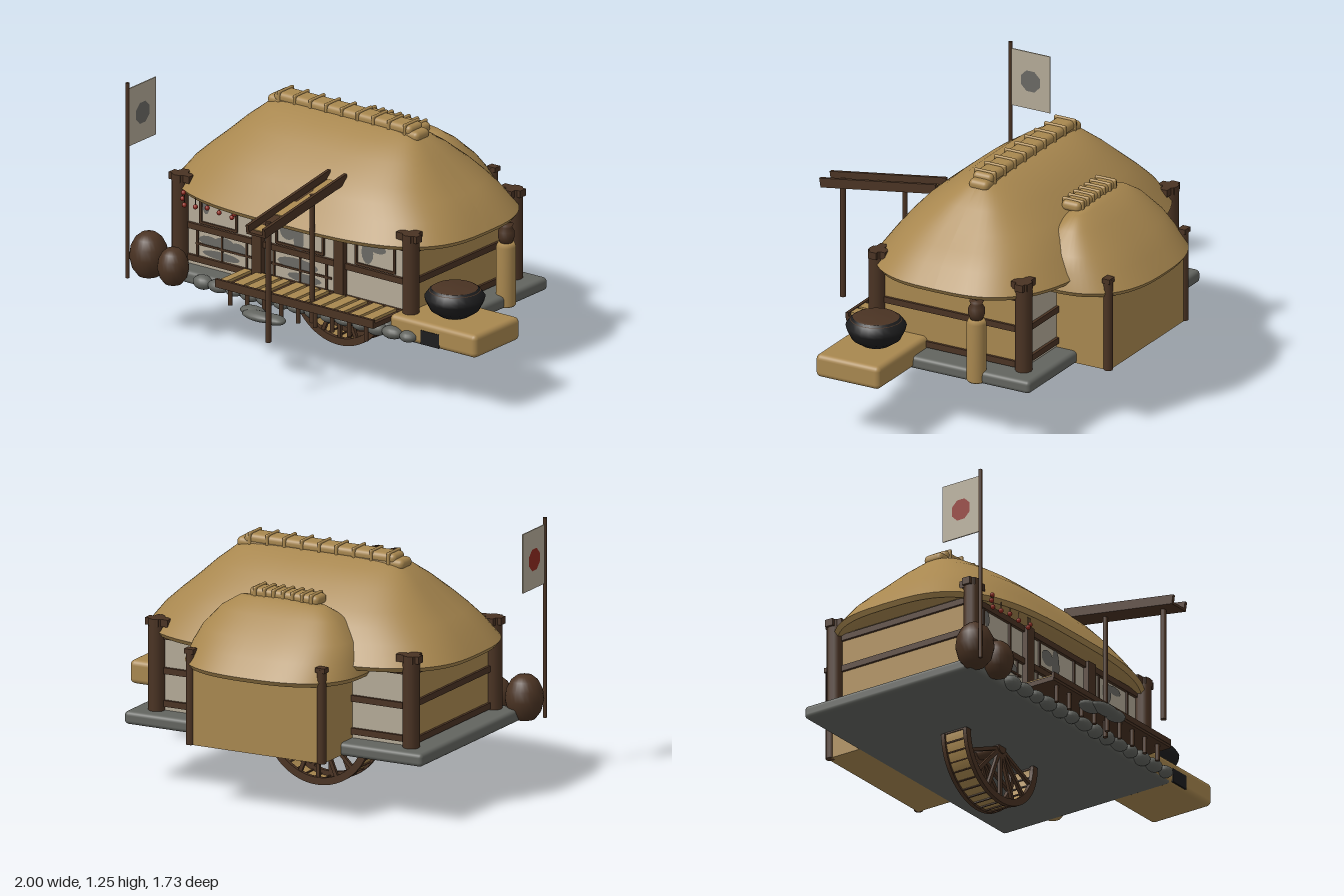
import * as THREE from 'three';
import { RoundedBoxGeometry } from 'three/addons/geometries/RoundedBoxGeometry.js';

const mat = (name, color, side = THREE.FrontSide) => {
  const m = new THREE.MeshStandardMaterial({ color, side });
  m.name = name;
  return m;
};

export function createModel() {
  const root = new THREE.Group();
  root.name = 'thatchedCottage';
  const straw = mat('straw', 0xa8874f);
  const wood = mat('darkWood', 0x4a3323);
  const stone = mat('stone', 0x62645f);
  const paper = mat('paper', 0xb4aa97, THREE.DoubleSide);
  const ink = mat('inkGrey', 0x6a6964);
  const iron = mat('blackIron', 0x1d1d1e);
  const red = mat('red', 0x8e2a20);

  const add = (name, geo, m, x = 0, y = 0, z = 0, parent = root) => {
    const mesh = new THREE.Mesh(geo, m);
    mesh.name = name;
    mesh.position.set(x, y, z);
    parent.add(mesh);
    return mesh;
  };
  // box given by its limits
  const box = (name, m, x0, x1, y0, y1, z0, z1, r = 0, parent = root) => {
    const w = x1 - x0, h = y1 - y0, d = z1 - z0;
    const geo = r ? new RoundedBoxGeometry(w, h, d, 3, r) : new THREE.BoxGeometry(w, h, d);
    return add(name, geo, m, (x0 + x1) / 2, (y0 + y1) / 2, (z0 + z1) / 2, parent);
  };
  const post = (name, x, z, y0, y1, r, m = wood) =>
    add(name, new THREE.CylinderGeometry(r, r, y1 - y0, 12), m, x, (y0 + y1) / 2, z);
  const lathe = (pts, seg = 24) =>
    new THREE.LatheGeometry(pts.map(p => new THREE.Vector2(...p)), seg);

  // surface through stacked superellipse rings [halfX, halfZ, y]
  const loft = (rings, n, seg = 72) => {
    const pos = [], idx = [];
    const pw = v => Math.sign(v) * Math.abs(v) ** (2 / n);
    rings.forEach(([hx, hz, y], i) => {
      for (let j = 0; j <= seg; j++) {
        const t = (j / seg) * Math.PI * 2;
        pos.push(hx * pw(Math.cos(t)), y, hz * pw(Math.sin(t)));
        if (i < rings.length - 1 && j < seg) {
          const a = i * (seg + 1) + j, c = a + seg + 1;
          idx.push(a, c, a + 1, a + 1, c, c + 1);
        }
      }
    });
    const g = new THREE.BufferGeometry();
    g.setAttribute('position', new THREE.Float32BufferAttribute(pos, 3));
    g.setIndex(idx);
    g.computeVertexNormals();
    return g;
  };

  // Main roof and rear roof, each with a rim and an underside
  const mainRings = [[0.83, 0.525, 0.735], [0.76, 0.46, 0.825], [0.69, 0.41, 0.89], [0.62, 0.355, 0.95],
    [0.53, 0.25, 1.035], [0.45, 0.15, 1.1], [0.38, 0.05, 1.13], [0, 0, 1.135]];
  const rearRings = [[0.45, 0.365, 0.685], [0.425, 0.3, 0.765], [0.39, 0.235, 0.835], [0.31, 0.13, 0.925],
    [0.23, 0.05, 0.975], [0, 0, 0.985]];
  const roof = (name, rings, n, x, z) => {
    const [hx, hz, y] = rings[0];
    add(name, loft(rings, n), straw, x, 0, z);
    add(name + 'Rim', loft([[hx - 0.015, hz - 0.015, y - 0.022], [hx, hz, y]], n), straw, x, 0, z);
    add(name + 'Underside', loft([[0, 0, y + 0.01], [hx - 0.1, hz - 0.1, y + 0.01],
      [hx - 0.015, hz - 0.015, y - 0.022]], n), straw, x, 0, z);
  };
  roof('mainRoof', mainRings, 3, -0.118, -0.095);
  roof('rearRoof', rearRings, 2.6, -0.12, -0.5);

  // Ridge rolls with binding bands
  box('ridgeBase', straw, -0.565, 0.325, 1.09, 1.142, -0.155, -0.05, 0.024);
  box('ridgeRoll', straw, -0.525, 0.285, 1.115, 1.165, -0.155, -0.05, 0.022);
  for (let i = 0; i < 9; i++) {
    const x = -0.49 + i * 0.0925;
    box('ridgeBand', straw, x - 0.008, x + 0.008, 1.1, 1.173, -0.161, -0.044, 0.007);
  }
  box('rearRidge', straw, -0.305, 0.065, 0.965, 1.015, -0.5, -0.4, 0.022);
  for (let i = 0; i < 7; i++) {
    const x = -0.27 + i * 0.05;
    box('rearRidgeBand', straw, x - 0.009, x + 0.009, 0.96, 1.022, -0.507, -0.393, 0.008);
  }

  // Foundation and walls: plaster ends, paper front and back
  box('foundation', stone, -0.91, 0.68, 0.292, 0.355, -0.59, 0.375, 0.02);
  box('houseWalls', [straw, straw, straw, straw, paper, paper], -0.79, 0.55, 0.35, 0.735, -0.48, 0.28);
  box('rearRoom', straw, -0.48, 0.24, 0.295, 0.7, -0.765, -0.45);

  // Timber frame
  for (const x of [-0.8, 0.558]) {
    const s = Math.sign(x);
    for (const z of [-0.49, 0.3]) {
      const t = z > 0 ? 1 : -1;
      post('cornerPost', x, z, 0.35, 0.8, 0.04);
      box('postBracketX', wood, x - 0.06 + s * -0.01, x + 0.06 + s * -0.01, 0.765, 0.8, z - 0.022, z + 0.022);
      box('postBracketZ', wood, x - 0.025, x + 0.025, 0.765, 0.8, z - 0.045 - t * 0.01, z + 0.045 - t * 0.01);
    }
    const e = x < 0 ? -0.79 : 0.55;
    for (const y of [0.375, 0.553, 0.71])
      box('sideBeam', wood, e - 0.013, e + 0.013, y - 0.015, y + 0.015, -0.48, 0.29);
  }
  for (const [z, side] of [[0.28, 'front'], [-0.48, 'back']]) {
    for (const y of [0.39, 0.548, 0.715])
      box(side + 'Beam', wood, -0.79, 0.55, y - 0.015, y + 0.015, z - 0.015, z + 0.015);
    for (const x of [-0.345, 0.14]) box(side + 'Post', wood, x - 0.028, x + 0.028, 0.35, 0.73, z - 0.03, z + 0.03);
  }
  for (const x of [-0.47, 0.23]) {
    post('rearPost', x, -0.755, 0.295, 0.75, 0.022);
    box('rearBracket', wood, x - 0.025, x + 0.025, 0.735, 0.758, -0.775, -0.735);
  }

  // Front windows: thin frames, lattice bars and painted foliage
  for (const [x0, x1] of [[-0.69, -0.48], [-0.245, 0.03], [0.225, 0.45]]) {
    for (const x of [x0, x1]) box('windowStile', wood, x - 0.006, x + 0.006, 0.57, 0.71, 0.28, 0.289);
    box('windowSill', wood, x0, x1, 0.568, 0.58, 0.28, 0.289);
  }
  for (const x of [-0.71, -0.565, -0.42, -0.26, -0.105, 0.05])
    box('latticeBar', wood, x - 0.005, x + 0.005, 0.4, 0.54, 0.28, 0.288);
  for (const [x0, x1] of [[-0.72, -0.39], [-0.28, 0.08]])
    box('latticeRail', wood, x0, x1, 0.46, 0.47, 0.28, 0.288);
  const blots = [[-0.64, 0.49, 0.06, 0.025], [-0.55, 0.495, 0.06, 0.03], [-0.47, 0.485, 0.05, 0.03],
    [-0.57, 0.43, 0.11, 0.02], [-0.115, 0.62, 0.03, 0.085], [-0.18, 0.64, 0.045, 0.04], [-0.12, 0.49, 0.12, 0.03],
    [-0.08, 0.43, 0.1, 0.022], [0.29, 0.64, 0.035, 0.055], [0.35, 0.67, 0.05, 0.022], [-0.66, 0.66, 0.02, 0.04]];
  for (const [x, y, w, h] of blots)
    add('paintedFoliage', new THREE.CircleGeometry(1, 14), ink, x, y, 0.284).scale.set(w, h, 1);

  // Half-sunk wheel: two rims, plank tread, cleats, spokes and hub
  const wheel = new THREE.Group();
  wheel.name = 'wheel';
  wheel.position.set(-0.118, 0.288, -0.095);
  root.add(wheel);
  const rimShape = new THREE.Shape();
  rimShape.absarc(0, 0, 0.283, Math.PI, Math.PI * 2, false);
  rimShape.absarc(0, 0, 0.248, Math.PI * 2, Math.PI, true);
  const rimGeo = new THREE.ExtrudeGeometry(rimShape, { depth: 0.02, bevelEnabled: false, curveSegments: 32 });
  for (const z of [-0.073, 0.053]) add('wheelRim', rimGeo, wood, 0, 0, z, wheel);
  const treadMat = mat('strawTread', 0xa8874f, THREE.DoubleSide);
  const tread = add('wheelTread', new THREE.CylinderGeometry(0.272, 0.272, 0.12, 40, 1, true, -Math.PI / 2, Math.PI),
    treadMat, 0, 0, 0, wheel);
  tread.rotation.x = Math.PI / 2;
  for (let i = 0; i <= 18; i++) {
    const a = Math.PI + (i / 18) * Math.PI;
    const cleat = add('wheelCleat', new THREE.BoxGeometry(0.012, 0.007, 0.12), wood,
      0.272 * Math.cos(a), 0.272 * Math.sin(a), 0, wheel);
    cleat.rotation.z = a;
  }
  for (let i = 1; i < 8; i++) {
    const a = Math.PI + (i / 8) * Math.PI;
    for (const z of [-0.06, 0.06]) {
      const spoke = add('wheelSpoke', new THREE.BoxGeometry(0.255, 0.018, 0.016), wood,
        0.127 * Math.cos(a), 0.127 * Math.sin(a), z, wheel);
      spoke.rotation.z = a;
    }
  }
  add('wheelHub', new THREE.CylinderGeometry(0.03, 0.03, 0.15, 16), wood, 0, 0, 0, wheel).rotation.x = Math.PI / 2;

  // Sloping flume on two posts
  const flume = new THREE.Group();
  flume.name = 'flume';
  flume.position.set(0.075, 0.908, 0.545);
  flume.rotation.x = 0.155;
  root.add(flume);
  for (const x of [-0.048, 0.048]) box('flumeRail', wood, x - 0.008, x + 0.008, -0.02, 0.026, -0.317, 0.317, 0, flume);
  box('flumeFloor', wood, -0.045, 0.045, -0.02, -0.008, -0.317, 0.317, 0, flume);
  for (const [z0, z1, dx] of [[-0.28, -0.16, 0], [-0.16, -0.03, 0.008], [-0.03, 0.12, -0.006], [0.23, 0.29, 0]])
    box('flumeLining', straw, -0.03 + dx, 0.03 + dx, -0.009, -0.003, z0, z1, 0, flume);
  post('flumePost', 0.078, 0.765, 0.29, 0.885, 0.014);
  post('flumePost', 0.078, 0.43, 0.29, 0.925, 0.012);

  // Front deck
  box('deckFrame', wood, -0.435, 0.495, 0.372, 0.396, 0.3, 0.505);
  box('deckEdge', wood, -0.435, 0.495, 0.385, 0.414, 0.492, 0.507);
  for (let i = 0; i < 12; i++) {
    const x = -0.42 + i * 0.076;
    box('deckPlank', straw, x, x + (i % 3 ? 0.058 : 0.04), 0.394, 0.41, 0.3, 0.492);
  }
  for (let i = 0; i < 9; i++) post('deckLeg', -0.37 + i * 0.1, 0.475, 0.29, 0.38, 0.011);

  // Footing stones and stepping stones
  const pebble = new THREE.SphereGeometry(1, 14, 10);
  for (let i = 0; i < 14; i++)
    add('footingStone', pebble, stone, -0.6 + i * 0.093, 0.326, 0.385)
      .scale.set(0.052 + 0.008 * Math.sin(i * 2.3), 0.031 + 0.004 * Math.cos(i * 1.7), 0.04);
  for (const [x, z, w] of [[-0.19, 0.535, 0.07], [-0.12, 0.575, 0.1], [-0.04, 0.57, 0.065]])
    add('steppingStone', pebble, stone, x, 0.318, z).scale.set(w, 0.024, 0.042);

  // Clay stove with fire hole, pot and lid
  box('stove', straw, 0.49, 1, 0.296, 0.41, 0.035, 0.38, 0.025);
  box('fireHole', iron, 0.68, 0.787, 0.303, 0.372, 0.375, 0.383);
  add('pot', lathe([[0, 0.405], [0.07, 0.41], [0.115, 0.44], [0.138, 0.485], [0.143, 0.505], [0.125, 0.53],
    [0.11, 0.545]]), iron, 0.74, 0, 0.2);
  add('potLid', lathe([[0.122, 0.534], [0.1, 0.548], [0, 0.551]]), wood, 0.74, 0, 0.2);

  // Chimney with a jar on top
  add('chimney', lathe([[0, 0.296], [0.04, 0.296], [0.047, 0.305], [0.047, 0.59], [0.038, 0.61], [0, 0.612]]),
    straw, 0.66, 0, -0.295);
  add('chimneyJar', lathe([[0, 0.605], [0.03, 0.61], [0.039, 0.635], [0.039, 0.665], [0.027, 0.685], [0.034, 0.7],
    [0, 0.702]]), wood, 0.66, 0, -0.295);

  // Round storage jars
  const jar = lathe([[0, 0], [0.55, 0], [0.85, 0.4], [1, 1], [0.93, 1.55], [0.7, 2], [0.4, 2.25], [0, 2.3]]);
  add('largeJar', jar, wood, -0.91, 0.297, 0.396).scale.setScalar(0.092);
  add('smallJar', jar, wood, -0.752, 0.297, 0.415).scale.setScalar(0.075);

  // Banner on a pole, with a plain spot on each face
  post('bannerPole', -0.975, 0.475, 0.29, 1.257, 0.009);
  box('banner', paper, -0.978, -0.972, 0.94, 1.225, 0.26, 0.47);
  for (const [s, m] of [[1, ink], [-1, red]]) {
    const spot = add('bannerSpot', new THREE.CircleGeometry(0.056, 8, Math.PI / 8), m, -0.975 + s * 0.005, 1.08, 0.365);
    spot.rotation.y = s * Math.PI / 2;
  }

  // Red beads hung under the eave
  const bead = new THREE.SphereGeometry(0.012, 10, 8);
  for (const [x, y] of [[-0.73, 0.735], [-0.735, 0.705], [-0.725, 0.675], [-0.66, 0.68], [-0.59, 0.69], [-0.52, 0.682],
    [-0.445, 0.675], [-0.43, 0.695]]) {
    add('redBead', bead, red, x, y, 0.365);
    post('beadString', x, 0.365, y, 0.745, 0.002);
  }
  return root;
}
